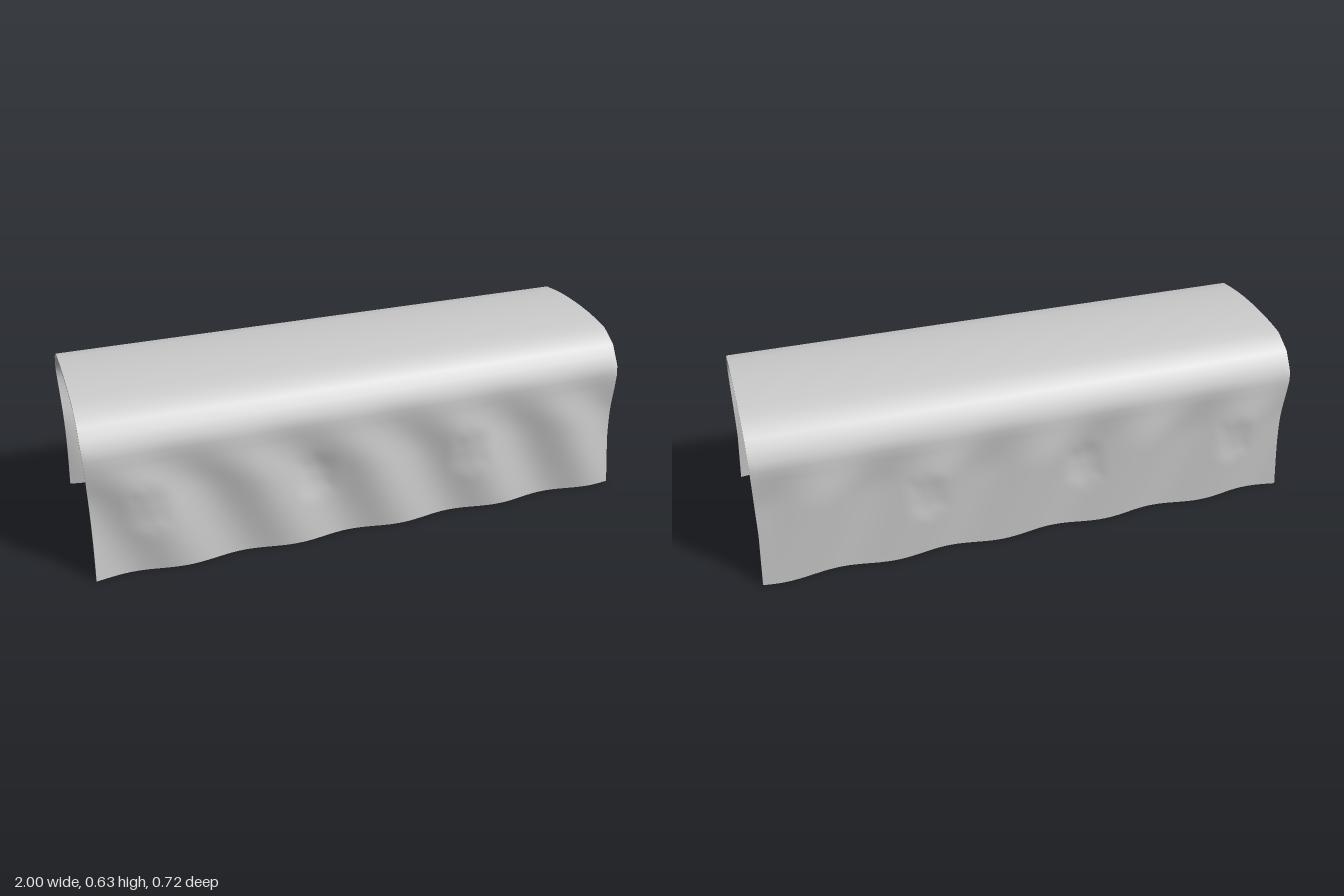
import * as THREE from 'three';

const COLS = 100, T = 0.011;
const material = new THREE.MeshStandardMaterial({ color: 0xcccccc, side: THREE.DoubleSide });

// Half profile [z, y]: wall rows from the hem upward, then shoulder and crown
const half = [];
for (let i = 0; i <= 18; i++) half.push([0.345, 0.43 * i / 18]);
half.push([0.343, 0.465], [0.338, 0.5], [0.316, 0.535], [0.293, 0.57], [0.258, 0.591], [0.222, 0.612],
  [0.165, 0.62], [0.11, 0.626], [0.055, 0.629]);
const profile = [...half, [0, 0.63], ...half.slice().reverse().map(([z, y]) => [-z, y])];

// Inward offset direction at every profile point
const inward = profile.map((p, i) => {
  const a = profile[Math.max(i - 1, 0)], b = profile[Math.min(i + 1, profile.length - 1)];
  const dz = b[0] - a[0], dy = b[1] - a[1], l = Math.hypot(dz, dy);
  return [-dy / l, dz / l];
});

// Cloth ripple of the walls, fading out at the shoulder
function ripple(x, y) {
  const amp = THREE.MathUtils.lerp(0.012, 0.016, Math.min(y / 0.28, 1)) * (1 - THREE.MathUtils.smoothstep(y, 0.3, 0.5));
  return amp * Math.cos(2 * Math.PI * (x - 1) / 0.4 + 1.2 + 7 * y);
}

// Small hexagonal dents in each wall
function dent(x, y) {
  let d = 0;
  for (const cx of [-0.8, -0.2, 0.4]) {
    const u = Math.abs(x - cx) / 0.075, v = Math.abs(y - 0.25) / 0.1;
    d = Math.max(d, 1 - Math.max(u, v * 0.95 + u * 0.35));
  }
  return 0.008 * Math.min(1, d * 1.6);
}

// Point on the sheet: column i, profile row j, depth through the thickness
function point(i, j, depth) {
  const [pz, py] = profile[j];
  const x = -1 + 2 * i / COLS;
  const side = Math.sign(pz);
  const push = ripple(x, py) - (py < 0.45 ? dent(x, py) : 0);
  const z = pz + side * (push - 0.003 * (py < 0.45 ? 1 : 0)) + inward[j][0] * depth;
  const trim = x > 0 ? 0.01 * Math.min(1, py / 0.2) : -0.006 * Math.sin(Math.PI * Math.min(py / 0.5, 1));
  return [x - trim * Math.abs(x), Math.max(0, py + inward[j][1] * depth), z];
}

// Grid surface from a point function
function surface(name, nu, nv, fn) {
  const pos = [], idx = [];
  for (let u = 0; u <= nu; u++) for (let v = 0; v <= nv; v++) pos.push(...fn(u, v));
  for (let u = 0; u < nu; u++) for (let v = 0; v < nv; v++) {
    const a = u * (nv + 1) + v, b = a + nv + 1;
    idx.push(a, b, a + 1, b, b + 1, a + 1);
  }
  const g = new THREE.BufferGeometry();
  g.setAttribute('position', new THREE.Float32BufferAttribute(pos, 3));
  g.setIndex(idx);
  g.computeVertexNormals();
  const mesh = new THREE.Mesh(g, material);
  mesh.name = name;
  return mesh;
}

export function createModel() {
  const group = new THREE.Group();
  group.name = 'canvasCover';
  const rows = profile.length - 1;
  // Outer and inner faces of the sheet
  group.add(surface('outerSheet', COLS, rows, (u, v) => point(u, v, 0)));
  group.add(surface('innerSheet', COLS, rows, (u, v) => point(COLS - u, v, T)));
  // End edges
  group.add(surface('leftEndEdge', 1, rows, (u, v) => point(COLS, v, u * T)));
  group.add(surface('rightEndEdge', 1, rows, (u, v) => point(0, v, (1 - u) * T)));
  // Bottom hems
  group.add(surface('frontHem', COLS, 1, (u, v) => point(u, 0, (1 - v) * T)));
  group.add(surface('backHem', COLS, 1, (u, v) => point(u, rows, v * T)));
  return group;
}
